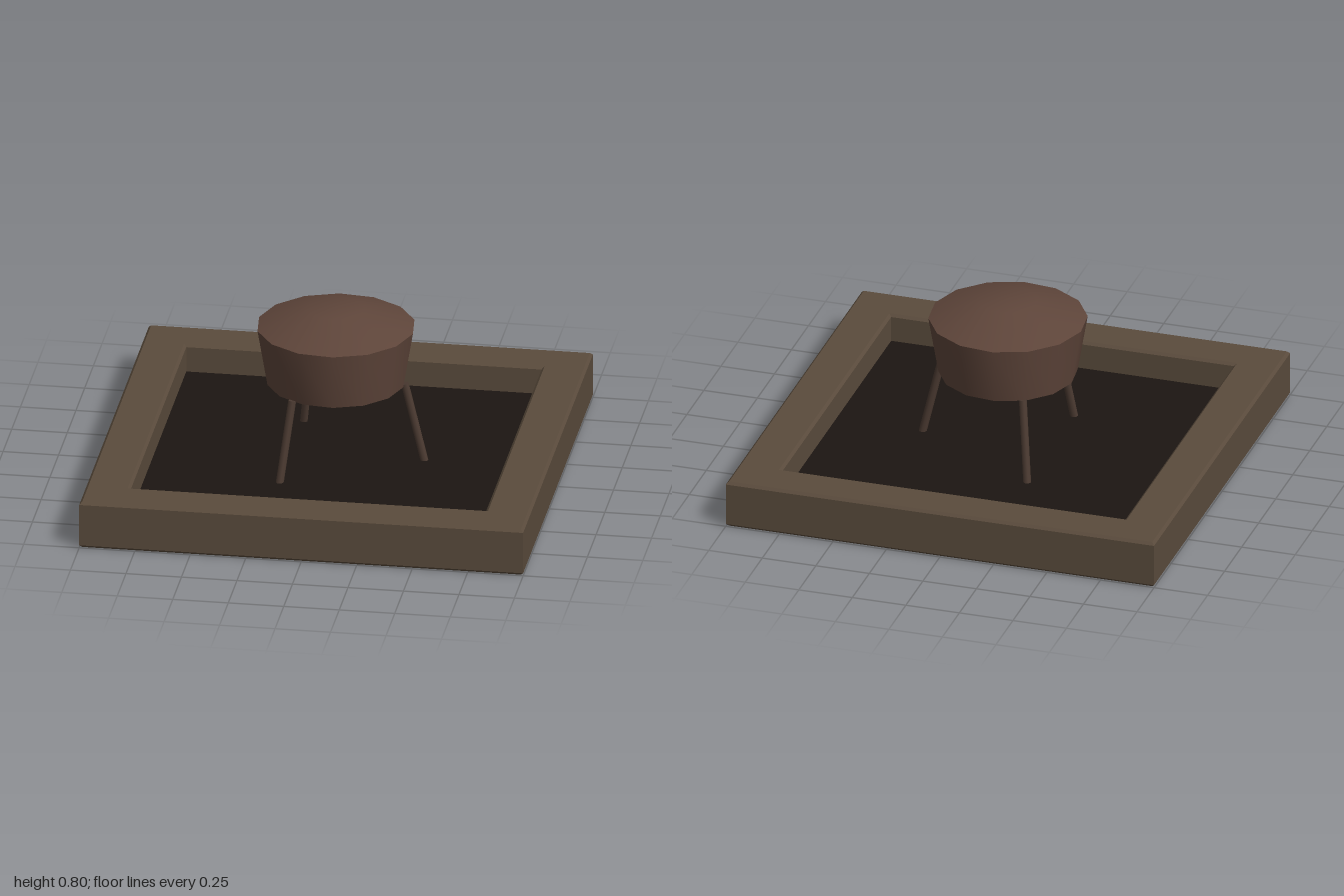
import * as THREE from 'three';
import { toCreasedNormals } from 'three/addons/utils/BufferGeometryUtils.js';

const material = (color) => new THREE.MeshStandardMaterial({ color });

function add(parent, name, geometry, mat) {
  const mesh = new THREE.Mesh(geometry, mat);
  mesh.name = name;
  parent.add(mesh);
  return mesh;
}

// closed square path of half-size h
function square(Type, h) {
  const p = new Type();
  p.moveTo(-h, -h);
  p.lineTo(h, -h);
  p.lineTo(h, h);
  p.lineTo(-h, h);
  p.closePath();
  return p;
}

export function createModel() {
  const group = new THREE.Group();
  group.name = 'firePit';
  const wood = material(0x5a4b3c);
  const bowlMat = material(0x5e453a);
  const legMat = material(0x4c3b32);

  // square frame with small chamfers
  const height = 0.22, bevel = 0.012;
  const outline = square(THREE.Shape, 1 - bevel);
  outline.holes.push(square(THREE.Path, 0.8 + bevel));
  const frame = new THREE.ExtrudeGeometry(outline, {
    depth: height - 2 * bevel,
    bevelSize: bevel,
    bevelThickness: bevel,
    bevelSegments: 1,
  });
  frame.rotateX(-Math.PI / 2).translate(0, bevel, 0);
  add(group, 'frame', frame, wood);

  // dark bed inside the frame
  add(group, 'bed', new THREE.BoxGeometry(1.63, 0.08, 1.63), material(0x1c1612)).position.y = 0.05;

  // 14-sided bowl with a shallow domed lid
  const sides = 14;
  const profile = [[0, 0.45], [0.31, 0.45], [0.355, 0.715], [0.13, 0.8], [0, 0.8]]
    .map(([r, y]) => new THREE.Vector2(r, y));
  const bowl = new THREE.LatheGeometry(profile, sides, Math.PI / (2 * sides));
  add(group, 'bowl', toCreasedNormals(bowl, Math.PI / 6), bowlMat);

  // three splayed legs
  const top = new THREE.Vector3(0.31, 0.455, 0);
  const foot = new THREE.Vector3(0.4, 0.08, 0);
  for (let i = 0; i < 3; i++) {
    const pivot = new THREE.Group();
    pivot.name = 'leg' + (i + 1);
    pivot.rotation.y = (i * Math.PI * 2) / 3;
    const leg = add(pivot, 'legRod', new THREE.CylinderGeometry(0.018, 0.018, top.distanceTo(foot), 8), legMat);
    leg.position.copy(top).add(foot).multiplyScalar(0.5);
    leg.rotation.z = Math.atan2(foot.x - top.x, top.y - foot.y);
    group.add(pivot);
  }
  return group;
}
